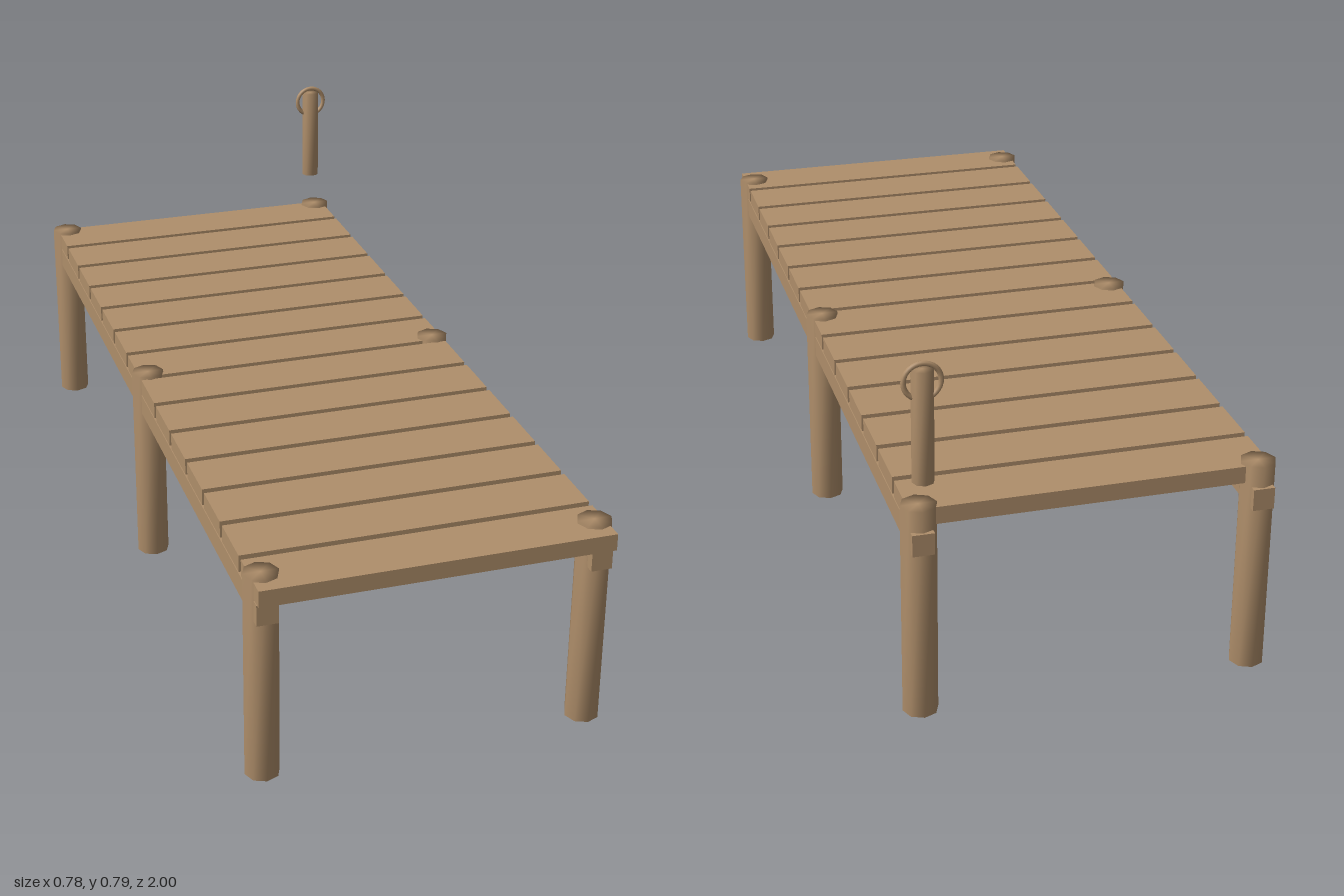
import * as THREE from 'three';
import { mergeVertices } from 'three/addons/utils/BufferGeometryUtils.js';

const wood = new THREE.MeshStandardMaterial({ color: 0xb08f6b });
wood.name = 'weathered wood';

// Eight-sided log whose shading rolls smoothly over the end caps
function logGeometry(radius, height) {
  const g = new THREE.CylinderGeometry(radius, radius, height, 8);
  g.deleteAttribute('normal');
  g.deleteAttribute('uv');
  const merged = mergeVertices(g, 1e-4);
  merged.computeVertexNormals();
  return merged;
}

export function createModel() {
  const model = new THREE.Group();
  model.name = 'dock';

  const add = (name, geometry, x, y, z) => {
    const mesh = new THREE.Mesh(geometry, wood);
    mesh.name = name;
    mesh.position.set(x, y, z);
    model.add(mesh);
  };

  // Deck planks, laid front to back with narrow gaps
  const plank = new THREE.BoxGeometry(0.745, 0.037, 0.124);
  for (let i = 0; i < 14; i++) add('plank', plank, -0.003, 0.4445, -0.888 + i * 0.1404);

  // Support posts and the long beams beside them
  const post = logGeometry(0.037, 0.468);
  const beam = new THREE.BoxGeometry(0.045, 0.047, 1.96);
  for (const side of [-1, 1]) {
    const x = side * 0.35 - 0.003;
    add('beam', beam, x, 0.3985, 0.003);
    for (const z of [-0.936, 0, 0.936]) add('post', post, x, 0.234, z);
  }

  // Mooring peg and its ring, above the back corner
  add('mooringPeg', logGeometry(0.0225, 0.235), 0.347, 0.6565, -0.9775);
  add('mooringRing', new THREE.TorusGeometry(0.0365, 0.0054, 8, 32), 0.347, 0.748, -0.9775);

  return model;
}
